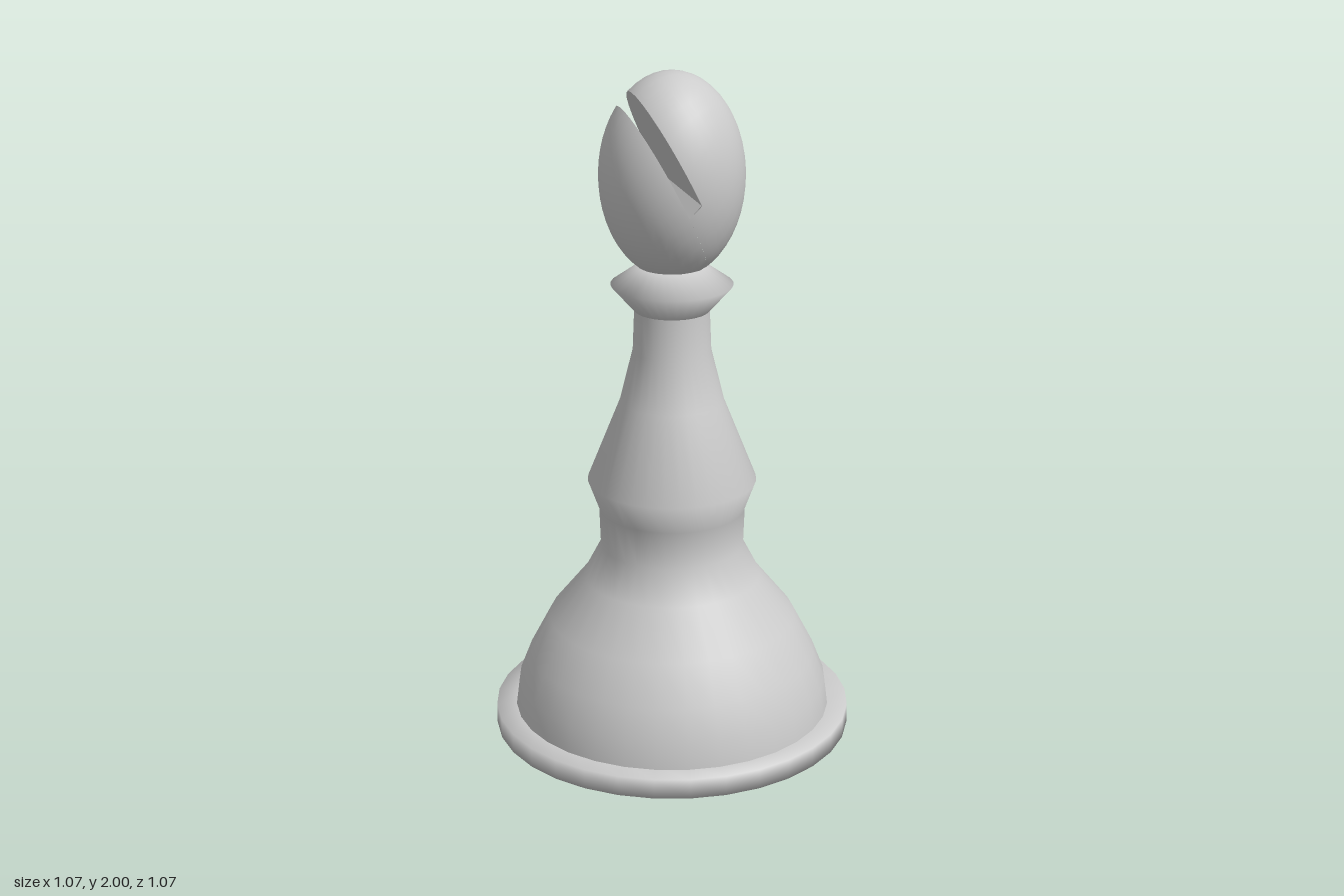
import * as THREE from 'three';
import { mergeGeometries } from 'three/addons/utils/BufferGeometryUtils.js';

const SIDES = 32;
const material = new THREE.MeshStandardMaterial({ color: 0xcccccc });

function turned(name, profile) {
  const points = profile.map(([r, y]) => new THREE.Vector2(r, y));
  const mesh = new THREE.Mesh(new THREE.LatheGeometry(points, SIDES), material);
  mesh.name = name;
  return mesh;
}

// Unit sphere whose pole is the slot's normal, cut by two parallel walls
// and a floor, then tilted and stretched into an egg.
function slottedHead() {
  const upper = 0.015, lower = -0.19, floor = 0.175;
  const a = Math.acos(upper), b = Math.acos(lower);
  const open = Math.acos(-floor / 0.99);
  const width = upper - lower;

  const wall = (y, facing) => new THREE.CircleGeometry(Math.sqrt(1 - y * y), SIDES)
    .rotateX(-facing * Math.PI / 2).translate(0, y, 0);

  const geometry = mergeGeometries([
    // lobes on either side of the slot
    new THREE.SphereGeometry(1, SIDES, 12, 0, Math.PI * 2, 0, a),
    new THREE.SphereGeometry(1, SIDES, 12, 0, Math.PI * 2, b, Math.PI - b),
    // skin below the slot, joining the lobes
    new THREE.SphereGeometry(1, SIDES, 2, open, 2 * (Math.PI - open), a, b - a),
    // slot walls and floor
    wall(upper, -1),
    wall(lower, 1),
    new THREE.PlaneGeometry(1.94, width).rotateY(-Math.PI / 2)
      .translate(floor, (upper + lower) / 2, 0),
  ]);
  geometry.rotateZ(-0.949).scale(0.21, 0.3, 0.21).translate(0, 1.7, 0);
  const mesh = new THREE.Mesh(geometry, material);
  mesh.name = 'slottedHead';
  return mesh;
}

export function createModel() {
  const group = new THREE.Group();
  group.name = 'bishop';

  // flat foot with softly shaded rim
  group.add(turned('base', [
    [0, 0], [0.44, 0], [0.535, 0], [0.535, 0.06], [0.46, 0.06],
  ]));

  // dome, waist and tapering neck
  group.add(turned('body', [
    [0.475, 0.06], [0.465, 0.14], [0.43, 0.23], [0.37, 0.345], [0.265, 0.475],
    [0.213, 0.575], [0.217, 0.69], [0.25, 0.78], [0.153, 1.025],
    [0.115, 1.18], [0.11, 1.305],
  ]));

  // pointed ring under the head
  group.add(turned('collar', [
    [0.108, 1.3], [0.178, 1.38], [0.1, 1.435], [0, 1.435],
  ]));

  group.add(slottedHead());
  return group;
}
